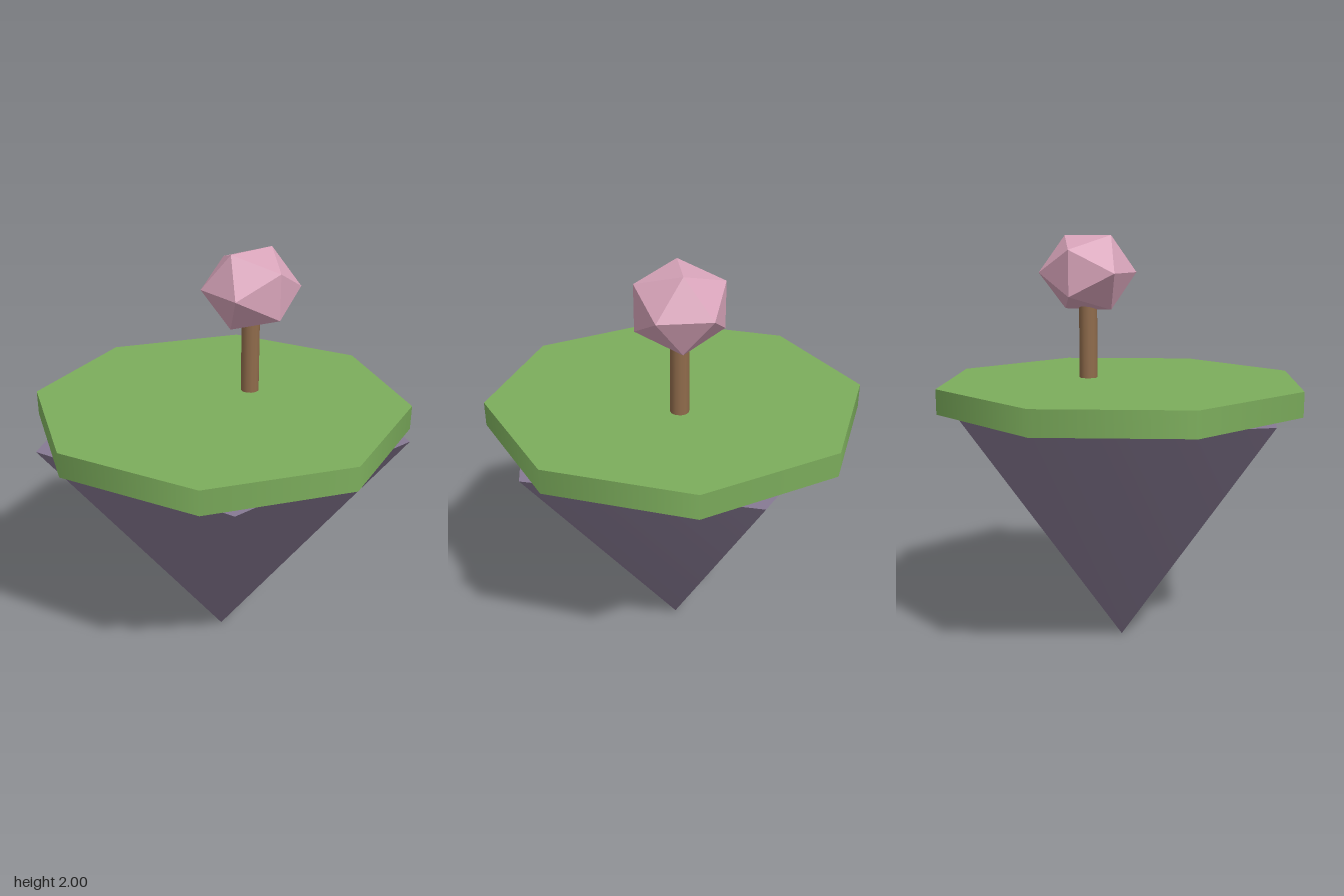
import * as THREE from 'three';

const material = (name, color, flatShading = false) => {
  const m = new THREE.MeshStandardMaterial({ color, flatShading });
  m.name = name;
  return m;
};

export function createModel() {
  const island = new THREE.Group();
  island.name = 'floatingIsland';

  const add = (name, geometry, mat, x, y) => {
    const mesh = new THREE.Mesh(geometry, mat);
    mesh.name = name;
    mesh.position.set(x, y, 0);
    island.add(mesh);
    return mesh;
  };

  // Five-sided rock, point down, one corner at the back
  const rock = new THREE.ConeGeometry(0.898, 1.2, 5).rotateX(Math.PI);
  add('rock', rock, material('rock purple', 0x877a93), 0, 0.6);

  // Eight-sided grass slab
  add('grass', new THREE.CylinderGeometry(0.898, 0.898, 0.117, 8), material('grass green', 0x7cad5c), 0, 1.2585);

  // Tree standing off-centre: trunk reaches into the crown
  const treeX = 0.18;
  add('trunk', new THREE.CylinderGeometry(0.044, 0.044, 0.4, 12), material('bark brown', 0x8f6b4b), treeX, 1.51);

  // Slightly squashed faceted crown
  const crown = new THREE.IcosahedronGeometry(0.236, 0).scale(1, 0.872, 1);
  add('crown', crown, material('blossom pink', 0xd8a4ba, true), treeX, 1.825);

  return island;
}
